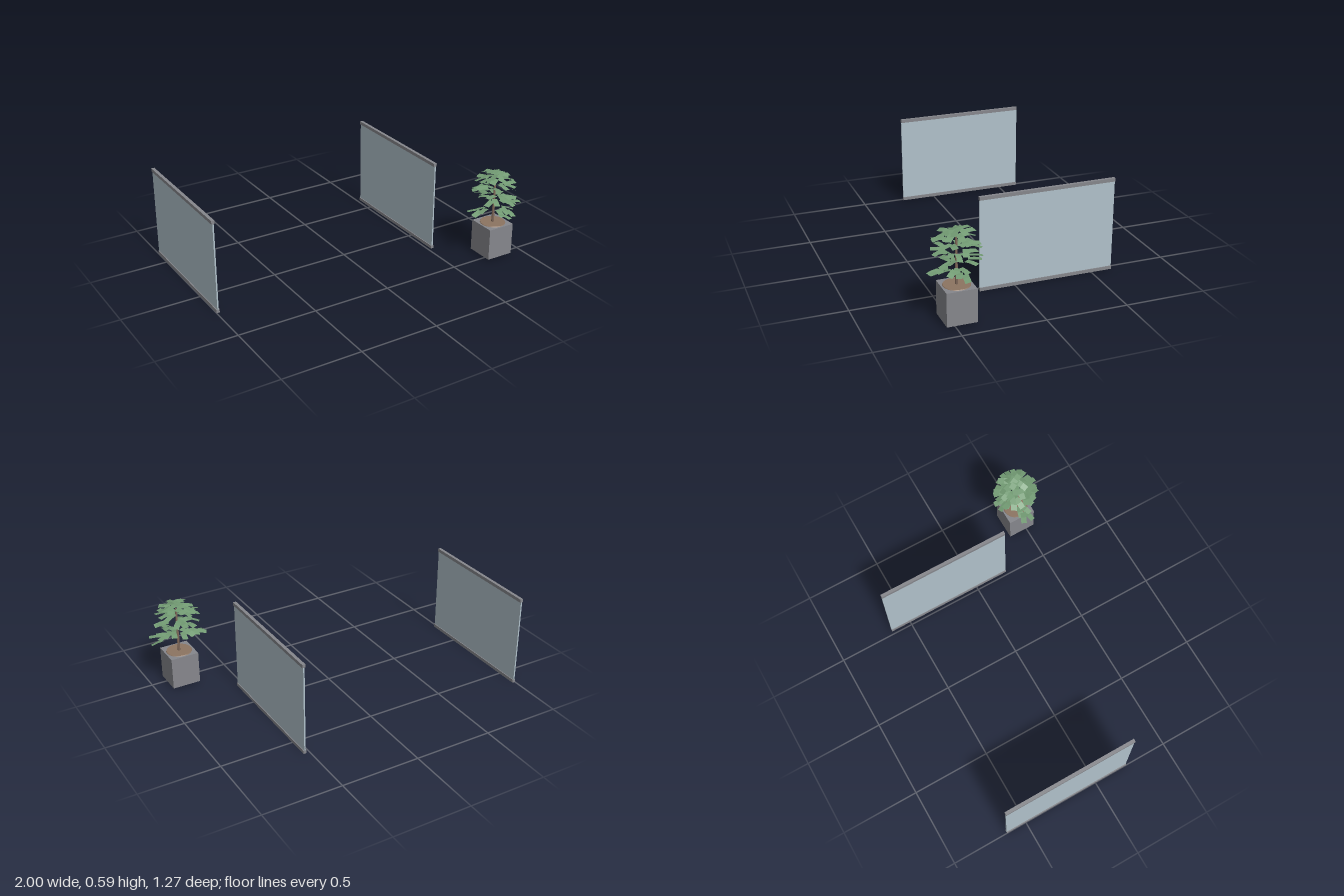
import * as THREE from 'three';

const material = (name, color, side = THREE.FrontSide) => {
  const m = new THREE.MeshStandardMaterial({ color, side });
  m.name = name;
  return m;
};

export function createModel() {
  const model = new THREE.Group();
  model.name = 'glassScreensAndPlant';

  const mats = {
    grey: material('warmGrey', 0x86878c),
    glass: material('paleBlueGlass', 0xb0c1ca),
    soil: material('soilBrown', 0x8c7461),
    bark: material('barkBrown', 0x80695a),
    leaf: material('leafGreen', 0x739c74, THREE.DoubleSide),
  };

  const add = (parent, name, geometry, mat, x, y, z) => {
    const mesh = new THREE.Mesh(geometry, mat);
    mesh.name = name;
    mesh.position.set(x, y, z);
    parent.add(mesh);
    return mesh;
  };

  // Two glass screens, each held between a bottom and a top rail
  const length = 0.857, height = 0.593, rail = 0.021;
  [['rightScreen', -0.99], ['leftScreen', 0.53]].forEach(([name, x]) => {
    const screen = new THREE.Group();
    screen.name = name;
    screen.position.set(x, 0, -0.205);
    add(screen, 'glassPane', new THREE.BoxGeometry(0.009, height - 2 * rail, length), mats.glass, 0, height / 2, 0);
    const railGeo = new THREE.BoxGeometry(0.02, rail, length);
    add(screen, 'bottomRail', railGeo, mats.grey, 0, rail / 2, 0);
    add(screen, 'topRail', railGeo, mats.grey, 0, height - rail / 2, 0);
    model.add(screen);
  });

  // Square planter with a disc of soil and a slim trunk
  const plant = new THREE.Group();
  plant.name = 'pottedPlant';
  plant.position.set(0.816, 0, 0.464);
  model.add(plant);
  add(plant, 'planter', new THREE.BoxGeometry(0.18, 0.206, 0.18), mats.grey, 0, 0.115, 0);
  add(plant, 'soil', new THREE.CylinderGeometry(0.078, 0.082, 0.006, 20), mats.soil, 0, 0.219, 0);
  add(plant, 'trunk', new THREE.CylinderGeometry(0.006, 0.009, 0.3, 8), mats.bark, 0, 0.365, 0);

  // Small seeded generator for leaf variation, range -1 to 1
  let seed = 7;
  const vary = () => {
    seed = (seed * 16807) % 2147483647;
    return (seed / 2147483647) * 2 - 1;
  };

  // Leaf blade: a strip lying along x, bent slightly down at its tip
  const blade = new THREE.PlaneGeometry(0.076, 0.036, 2, 1).rotateX(-Math.PI / 2);
  const p = blade.attributes.position;
  for (let i = 0; i < p.count; i++) p.setY(i, -Math.abs(p.getX(i)) * 0.08);
  const leafGeo = blade.toNonIndexed();
  leafGeo.computeVertexNormals();

  const foliage = new THREE.Group();
  foliage.name = 'foliage';
  plant.add(foliage);
  const addLeaf = (angle, r, y, droop) => {
    const leaf = add(foliage, 'leaf', leafGeo, mats.leaf, Math.cos(angle) * r, y, Math.sin(angle) * r);
    leaf.rotation.order = 'YXZ';
    leaf.rotation.set(vary() * 0.28, -angle + vary() * 0.45, -droop + vary() * 0.18);
  };

  // Sprays of leaves: direction in degrees (0 = +x, 90 = +z), height, reach, leaf count
  const sprays = [
    [5, 0.335, 0.178, 4], [180, 0.315, 0.182, 4], [85, 0.315, 0.165, 4], [35, 0.31, 0.12, 1],
    [262, 0.385, 0.15, 3], [315, 0.375, 0.14, 2], [135, 0.385, 0.13, 2], [45, 0.385, 0.135, 2],
    [225, 0.43, 0.14, 3], [0, 0.44, 0.14, 2], [95, 0.425, 0.14, 2], [150, 0.45, 0.14, 2],
    [280, 0.46, 0.14, 3], [185, 0.485, 0.145, 2], [40, 0.475, 0.13, 2], [330, 0.485, 0.125, 2],
    [110, 0.495, 0.135, 2], [235, 0.505, 0.125, 2],
  ];
  for (const [degrees, y, reach, count] of sprays) {
    for (let k = 0; k < count; k++) {
      const r = reach - 0.036 - Math.floor(k / 2) * 0.045;
      const side = count === 1 ? 0 : (k % 2 ? 1 : -1) * 0.02 / r;
      addLeaf(degrees * Math.PI / 180 + side, r, y + vary() * 0.016, 0.12);
    }
  }

  // Dense crown in two rings with a pair of leaves at the very top
  [[0.527, 0.075, 8], [0.546, 0.045, 6], [0.558, 0.015, 2]].forEach(([y, r, count], ring) => {
    for (let k = 0; k < count; k++) {
      addLeaf((k / count) * Math.PI * 2 + ring * 0.4, r, y + vary() * 0.008, 0.12);
    }
  });

  return model;
}
